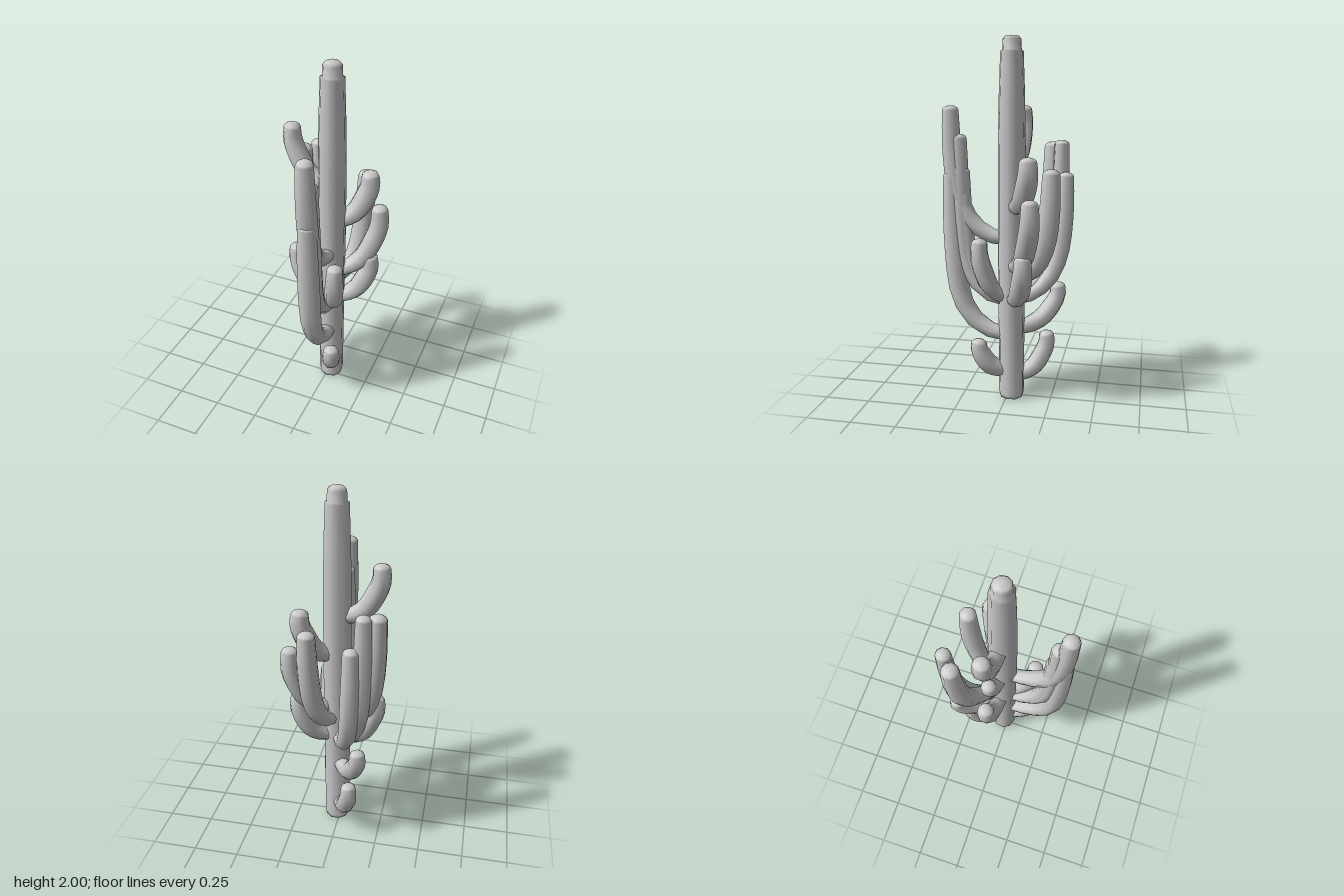
import * as THREE from 'three';
import { mergeVertices } from 'three/addons/utils/BufferGeometryUtils.js';

const SIDES = 9;
const CX = 0.017, CZ = -0.025; // trunk axis
const UP = new THREE.Vector3(0, 1, 0);

const material = new THREE.MeshStandardMaterial({ color: 0xcccccc, side: THREE.DoubleSide });

// arms: [name, base y, tip x, tip y, tip z, radius]
const ARMS = [
  ['frontTallArm', 0.91, 0.017, 1.64, 0.311, 0.047],
  ['frontLongArm', 0.36, 0.02, 1.29, 0.306, 0.051],
  ['frontInnerArm', 0.56, 0.02, 1.49, 0.265, 0.045],
  ['frontShortArm', 0.56, 0.02, 1.31, 0.245, 0.04],
  ['frontLowArm', 0.16, 0.083, 0.355, 0.145, 0.046],
  ['frontMiddleArm', 0.59, 0.1, 0.935, 0.135, 0.046],
  ['rightHighArm', 1.32, -0.213, 1.635, -0.05, 0.047],
  ['rightSmallArm', 0.91, -0.135, 1.1, -0.055, 0.043],
  ['rightMiddleArm', 0.57, -0.205, 0.88, -0.055, 0.048],
  ['backRightOuterArm', 0.73, -0.228, 1.435, -0.215, 0.05],
  ['backRightTallArm', 0.6, -0.165, 1.45, -0.272, 0.043],
  ['backRightLongArm', 0.57, -0.11, 1.28, -0.305, 0.044],
  ['backRightMiddleArm', 0.4, -0.14, 0.645, -0.26, 0.045],
  ['backRightLowArm', 0.12, -0.083, 0.37, -0.207, 0.045],
  ['backLeftArm', 0.7, 0.128, 1.325, -0.255, 0.049],
  ['leftHighArm', 1.1, 0.185, 1.39, -0.14, 0.05],
  ['leftOuterArm', 0.77, 0.24, 1.18, -0.16, 0.048],
  ['leftMiddleArm', 0.585, 0.208, 0.88, -0.12, 0.048],
];

function smoothLathe(profile) {
  const geo = new THREE.LatheGeometry(profile.map(([r, y]) => new THREE.Vector2(r, y)), SIDES);
  geo.deleteAttribute('uv');
  geo.deleteAttribute('normal');
  return mergeVertices(geo, 1e-5);
}

// Blunt-tipped column bent along a curve that leaves the trunk and turns upward
function armGeometry(y0, x, y1, z, radius) {
  const out = new THREE.Vector3(x - CX, 0, z - CZ);
  const d = out.length(), h = y1 - y0;
  out.normalize();
  const rise = Math.min(0.22, h * 0.42);
  const lean = h > 0.6 ? 0.975 : 1.01; // long arms keep leaning out to the tip
  const at = (r, y) => new THREE.Vector3(CX, y, CZ).addScaledVector(out, r);
  const curve = new THREE.CatmullRomCurve3([
    at(0.02, y0 + 0.01),
    at(d * 0.3, y0 + rise * 0.1),
    at(d * 0.64, y0 + rise * 0.42),
    at(d * 0.86, y0 + rise),
    at(d * lean, y0 + rise + (h - rise) * 0.5),
    at(d, y1),
  ]);
  const length = curve.getLength();

  // slim at the base, swelling in the middle, blunt at the tip
  const profile = [];
  const dome = radius * 0.55;
  const body = length - dome;
  for (let i = 0; i <= 10; i++) {
    const t = i / 10;
    profile.push([radius * (0.78 + 0.18 * t + 0.3 * Math.sin(Math.PI * t)), body * t]);
  }
  const tipR = profile[10][0];
  for (let i = 1; i <= 3; i++) {
    const a = (i / 3) * Math.PI / 2;
    profile.push([i === 3 ? 0 : tipR * Math.cos(a), body + dome * Math.sin(a)]);
  }

  const geo = smoothLathe(profile);
  const pos = geo.attributes.position;
  const side = new THREE.Vector3().crossVectors(out, UP);
  const p = new THREE.Vector3(), tangent = new THREE.Vector3(), normal = new THREE.Vector3();
  for (let i = 0; i < pos.count; i++) {
    const u = THREE.MathUtils.clamp(pos.getY(i) / length, 0, 1);
    curve.getPointAt(u, p);
    curve.getTangentAt(u, tangent);
    normal.crossVectors(side, tangent);
    p.addScaledVector(side, pos.getX(i)).addScaledVector(normal, pos.getZ(i));
    pos.setXYZ(i, p.x, p.y, p.z);
  }
  geo.computeVertexNormals();
  return geo;
}

export function createModel() {
  const group = new THREE.Group();
  group.name = 'cactus';

  const add = (name, geo) => {
    const mesh = new THREE.Mesh(geo, material);
    mesh.name = name;
    group.add(mesh);
    return mesh;
  };

  // trunk with a stepped, narrower crown
  const trunkGeo = smoothLathe([
    [0, 0], [0.066, 0.005], [0.072, 0.03], [0.074, 0.5], [0.077, 1.0], [0.076, 1.4],
    [0.07, 1.7], [0.062, 1.92], [0.052, 1.925], [0.049, 1.98], [0.036, 1.996], [0, 2],
  ]);
  trunkGeo.computeVertexNormals();
  add('trunk', trunkGeo).position.set(CX, 0, CZ);

  for (const [name, ...shape] of ARMS) add(name, armGeometry(...shape));

  return group;
}
